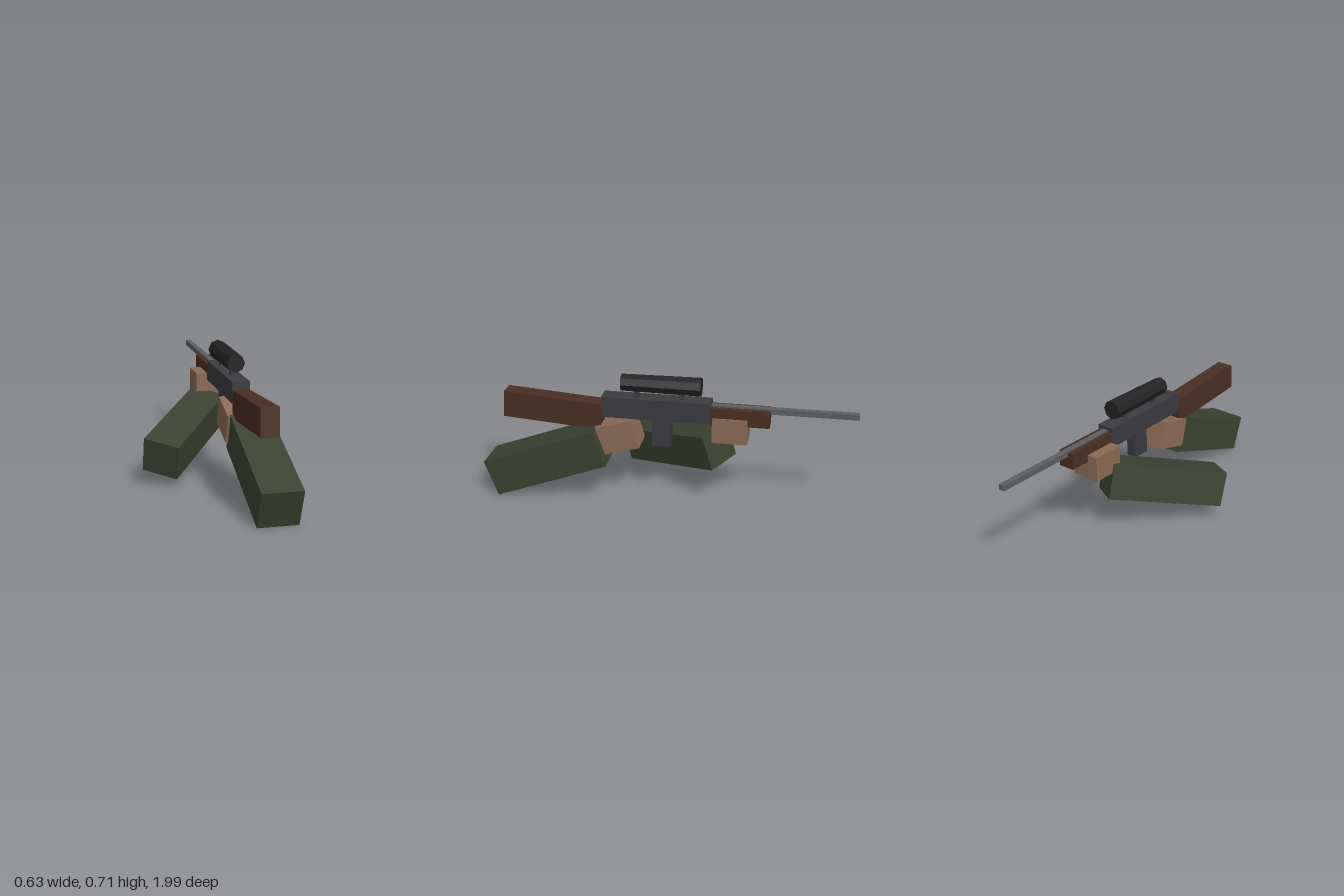
import * as THREE from 'three';

const mat = (name, color) => {
  const m = new THREE.MeshStandardMaterial({ color, flatShading: true });
  m.name = name;
  return m;
};

export function createModel() {
  const sleeve = mat('sleeve green', 0x3b4230);
  const skin = mat('skin brown', 0x8a6a54);
  const wood = mat('dark wood', 0x4a2e22);
  const metal = mat('gun metal', 0x3b3b40);
  const steel = mat('barrel steel', 0x5c5e62);
  const black = mat('scope black', 0x222222);

  const model = new THREE.Group();
  const rifle = new THREE.Group();
  rifle.name = 'rifle';
  rifle.position.x = 0.172;
  model.add(rifle);

  // Box placed by its centre, with optional tilt
  const box = (parent, name, material, size, pos, rot = [0, 0, 0]) => {
    const mesh = new THREE.Mesh(new THREE.BoxGeometry(...size), material);
    mesh.name = name;
    mesh.position.set(...pos);
    mesh.rotation.set(...rot);
    parent.add(mesh);
  };

  // Rifle body; the muzzle points to -z
  box(rifle, 'receiver', metal, [0.094, 0.114, 0.585], [0, 0.531, 0.0575]);
  box(rifle, 'stock', wood, [0.093, 0.145, 0.54], [0, 0.491, 0.621], [-0.073, 0, 0]);
  box(rifle, 'foreEnd', wood, [0.09, 0.09, 0.31], [0, 0.517, -0.39]);
  box(rifle, 'barrel', steel, [0.032, 0.03, 0.765], [0, 0.556, -0.6175]);
  box(rifle, 'magazine', metal, [0.06, 0.16, 0.1], [0, 0.4, 0.03]);

  // Eight-sided scope, slightly wider at the far end, on two mounts
  const scope = new THREE.Mesh(new THREE.CylinderGeometry(0.048, 0.053, 0.425, 8), black);
  scope.name = 'scope';
  scope.rotation.x = Math.PI / 2;
  scope.position.set(0, 0.662, 0.0325);
  rifle.add(scope);
  for (const z of [0.165, -0.075]) {
    box(rifle, 'scopeMount', metal, [0.024, 0.06, 0.025], [0, 0.605, z]);
  }

  // Arm holding the grip
  box(model, 'gripSleeve', sleeve, [0.211, 0.207, 0.65], [0.2115, 0.214, 0.6525], [0.353, 0, 0]);
  box(model, 'gripHand', skin, [0.159, 0.16, 0.215], [0.173, 0.369, 0.266], [0.275, 0, 0]);

  // Arm supporting the fore-end
  box(model, 'supportSleeve', sleeve, [0.2, 0.195, 0.655], [-0.05, 0.24, -0.016], [0.28, -0.6, 0]);
  box(model, 'supportHand', skin, [0.16, 0.138, 0.186], [0.145, 0.441, -0.337]);

  return model;
}
